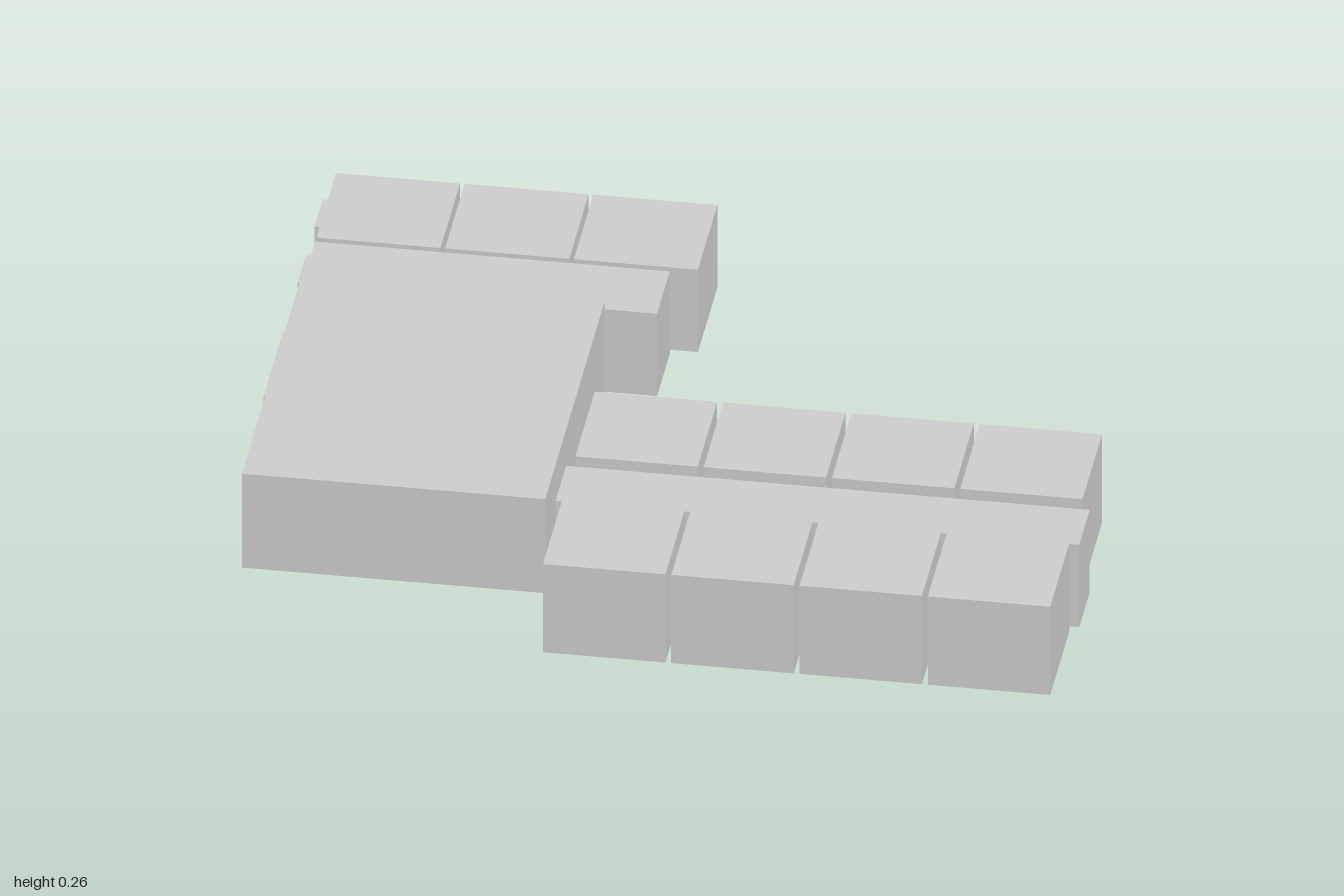
import * as THREE from 'three';

const wall = new THREE.MeshStandardMaterial({ color: 0xcccccc });
wall.name = 'pale grey walls';
const glass = new THREE.MeshStandardMaterial({ color: 0xf2f2f2 });
glass.name = 'light window glass';

// Box given by its extents on each axis
function block(parent, name, [x0, x1], [y0, y1], [z0, z1], material = wall) {
  const mesh = new THREE.Mesh(new THREE.BoxGeometry(x1 - x0, y1 - y0, z1 - z0), material);
  mesh.position.set((x0 + x1) / 2, (y0 + y1) / 2, (z0 + z1) / 2);
  mesh.name = name;
  parent.add(mesh);
}

// Framed window standing proud of the end wall at x = -0.983
function addWindow(parent, name, z0, z1, mullion) {
  const group = new THREE.Group();
  group.name = name;
  const xs = [-1, -0.982], y0 = 0.083, y1 = 0.208, t = 0.014;
  block(group, 'sill', xs, [y0, y0 + t], [z0, z1]);
  block(group, 'lintel', xs, [y1 - t, y1], [z0, z1]);
  block(group, 'jambBack', xs, [y0 + t, y1 - t], [z0, z0 + t]);
  block(group, 'jambFront', xs, [y0 + t, y1 - t], [z1 - t, z1]);
  if (mullion) {
    const c = (z0 + z1) / 2;
    block(group, 'mullion', [-0.994, -0.982], [y0 + t, y1 - t], [c - 0.005, c + 0.005]);
  }
  block(group, 'pane', [-0.988, -0.982], [y0 + t, y1 - t], [z0 + t, z1 - t], glass);
  parent.add(group);
}

export function createModel() {
  const model = new THREE.Group();
  model.name = 'modularBuilding';

  // Large hall and the two corridors
  block(model, 'mainHall', [-0.983, -0.262], [0, 0.26], [-0.315, 0.57]);
  block(model, 'backCorridor', [-0.983, -0.14], [0, 0.228], [-0.525, -0.335]);
  block(model, 'frontCorridor', [-0.245, 1], [0, 0.228], [0.365, 0.522]);

  // Back wing rooms
  for (let i = 0; i < 3; i++) {
    const x = -0.983 + i * 0.306;
    block(model, 'backRoom', [x, x + 0.295], [0, 0.228], [-0.833, -0.543]);
  }

  // Front wing: rooms on both sides of the corridor, joined by low door passages
  for (let i = 0; i < 4; i++) {
    const x = -0.226 + i * 0.305, xs = [x, x + 0.291];
    block(model, 'innerRoom', xs, [0, 0.244], [0.055, 0.346]);
    block(model, 'outerRoom', xs, [0, 0.244], [0.54, 0.83]);
    const door = [x + 0.098, x + 0.193];
    block(model, 'innerDoorPassage', door, [0, 0.198], [0.34, 0.37]);
    block(model, 'outerDoorPassage', door, [0, 0.198], [0.517, 0.545]);
  }

  // End wall windows
  addWindow(model, 'backRoomWindow', -0.745, -0.622, true);
  addWindow(model, 'corridorWindow', -0.493, -0.37, true);
  addWindow(model, 'hallWindow', -0.146, 0.138, false);

  return model;
}
